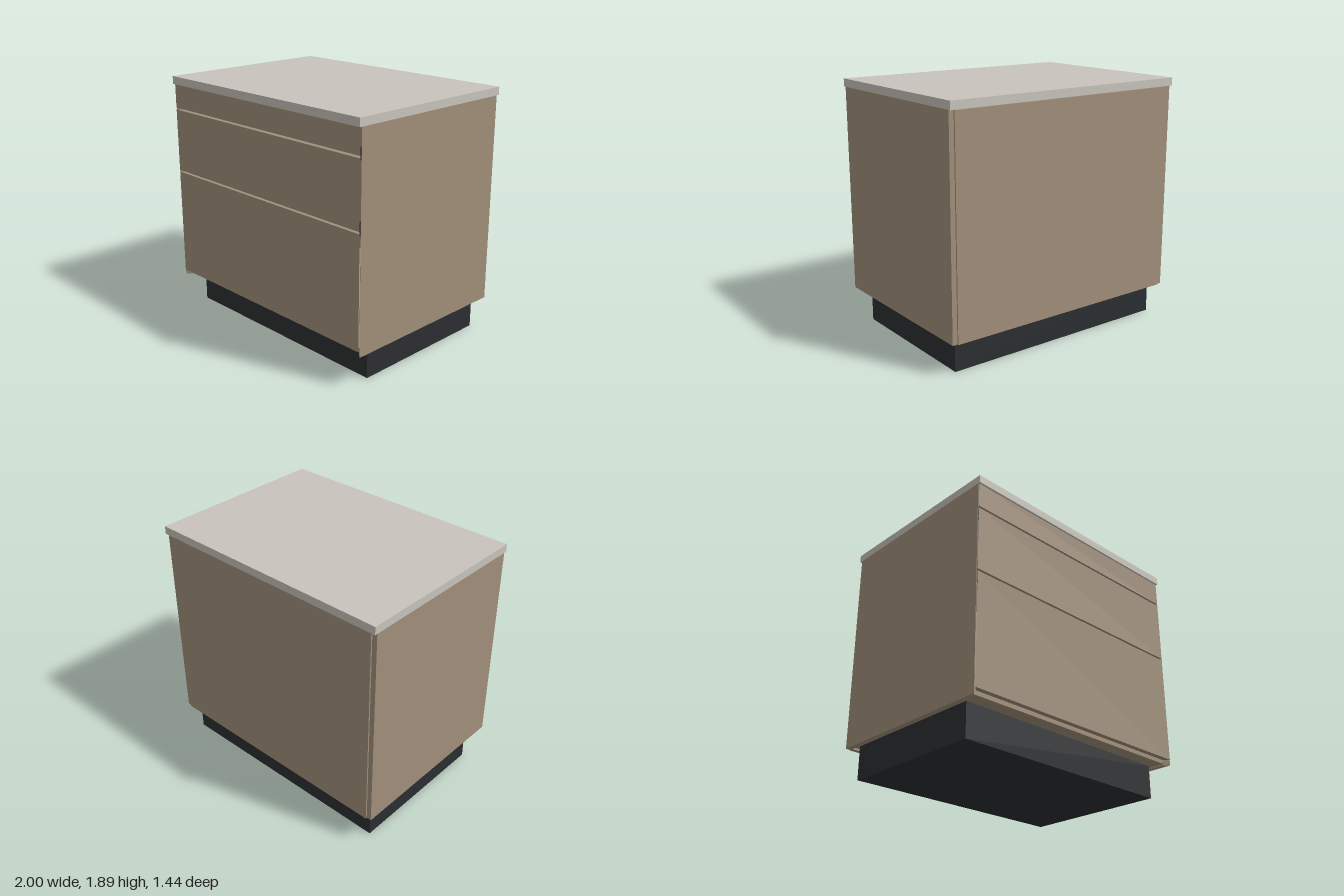
import * as THREE from 'three';

const wood = new THREE.MeshStandardMaterial({ color: 0xa18f7a });
const stone = new THREE.MeshStandardMaterial({ color: 0xc8c4bc });
const dark = new THREE.MeshStandardMaterial({ color: 0x2b2e31 });

export function createModel() {
  const group = new THREE.Group();

  function add(name, geometry, material) {
    const mesh = new THREE.Mesh(geometry, material);
    mesh.name = name;
    group.add(mesh);
  }

  // Box given by its limits on each axis
  function box(name, [x0, x1], [y0, y1], [z0, z1], material) {
    const g = new THREE.BoxGeometry(x1 - x0, y1 - y0, z1 - z0);
    g.translate((x0 + x1) / 2, (y0 + y1) / 2, (z0 + z1) / 2);
    add(name, g, material);
  }

  // Upright panel with a plan outline of [x, z] points
  function panel(name, plan, [y0, y1], material) {
    const shape = new THREE.Shape(plan.map(([x, z]) => new THREE.Vector2(x, -z)));
    const g = new THREE.ExtrudeGeometry(shape, { depth: y1 - y0, bevelEnabled: false });
    g.rotateX(-Math.PI / 2).translate(0, y0, 0);
    add(name, g, material);
  }

  // Worktop and recessed plinth
  box('worktop', [-1, 1], [1.83, 1.89], [-0.72, 0.72], stone);
  box('plinth', [-0.93, 0.93], [0, 0.255], [-0.62, 0.55], dark);

  // Side panels, mitred along the front edge
  for (const [s, name] of [[1, 'leftSide'], [-1, 'rightSide']]) {
    panel(name, [[s * 0.998, -0.697], [s * 0.998, 0.7], [s * 0.96, 0.662], [s * 0.96, -0.697]], [0.24, 1.83], wood);
  }

  // Carcass bottom and back
  box('carcassBottom', [-0.96, 0.96], [0.255, 0.285], [-0.69, 0.66], wood);
  box('backPanel', [-0.96, 0.96], [0.24, 1.825], [-0.74 + 0.07, -0.708].reverse(), wood);

  // Drawer fronts, mitred to meet the sides
  const fronts = [['bottomDrawer', 0.283, 1.125], ['middleDrawer', 1.14, 1.628], ['topDrawer', 1.643, 1.83]];
  for (const [name, y0, y1] of fronts) {
    panel(name, [[-0.993, 0.706], [0.993, 0.706], [0.953, 0.666], [-0.953, 0.666]], [y0, y1], wood);
  }

  // Dark grip channels behind the gaps
  for (const y of [1.1325, 1.6355]) {
    box('gripChannel', [-0.96, 0.96], [y - 0.04, y + 0.04], [0.62, 0.655], dark);
  }

  return group;
}
